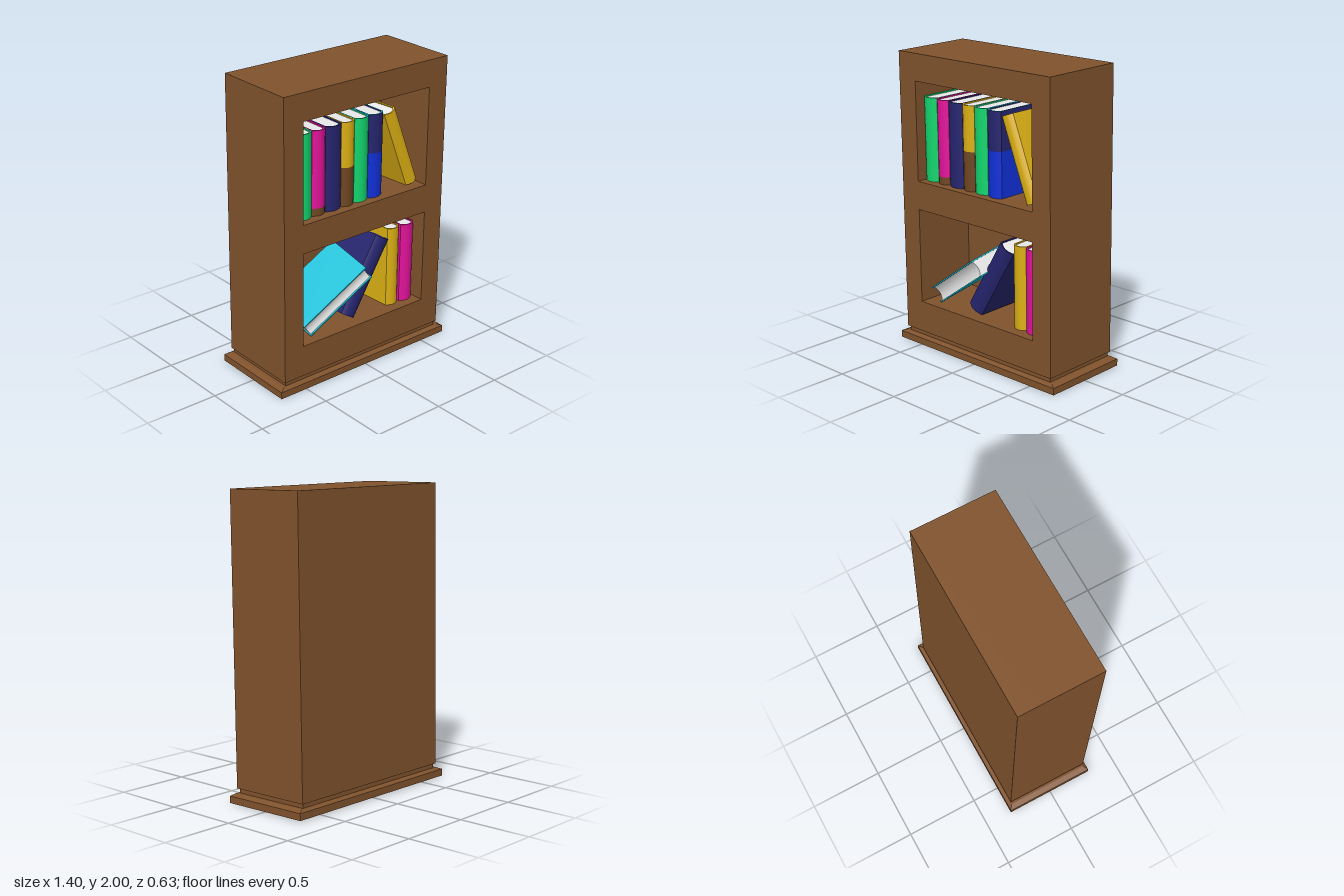
import * as THREE from 'three';
import { toCreasedNormals } from 'three/addons/utils/BufferGeometryUtils.js';

const COLORS = {
  wood: 0x80522c, brown: 0x6f4622, green: 0x12d66e, magenta: 0xe3129b, navy: 0x26256f,
  yellow: 0xdcb014, blue: 0x1030d8, cyan: 0x12bfd6, paper: 0xe9e9e9,
};

export function createModel() {
  const mats = {};
  for (const [name, color] of Object.entries(COLORS)) {
    mats[name] = new THREE.MeshStandardMaterial({ color });
    mats[name].name = name;
  }

  const root = new THREE.Group();
  root.name = 'bookcase';
  // The whole case leans forward very slightly
  const tilted = new THREE.Group();
  tilted.name = 'tiltedCase';
  tilted.rotation.x = 0.0155;
  tilted.position.y = 0.0045;
  root.add(tilted);

  const add = (parent, name, geo, mat) => {
    const mesh = new THREE.Mesh(geo, mat);
    mesh.name = name;
    parent.add(mesh);
    return mesh;
  };
  const box = (name, w, h, d, y, z) =>
    add(tilted, name, new THREE.BoxGeometry(w, h, d), mats.wood).position.set(0, y + h / 2, z);

  // Case: front frame with two openings, closed by a back panel
  const W = 0.655, Y0 = 0.09, Y1 = 1.991, FRONT = 0.284, BACK = -0.293, NICHE = 0.45;
  const rect = (S, x, y0, y1) => {
    const s = new S();
    s.moveTo(-x, y0).lineTo(x, y0).lineTo(x, y1).lineTo(-x, y1).closePath();
    return s;
  };
  const frame = rect(THREE.Shape, W, Y0, Y1);
  frame.holes.push(rect(THREE.Path, 0.507, 0.303, 0.95), rect(THREE.Path, 0.507, 1.143, 1.81));
  const frameGeo = new THREE.ExtrudeGeometry(frame, { depth: NICHE, bevelEnabled: false });
  add(tilted, 'frame', frameGeo, mats.wood).position.z = FRONT - NICHE;
  const backDepth = FRONT - NICHE - BACK;
  box('backPanel', W * 2, Y1 - Y0, backDepth, Y0, BACK + backDepth / 2);

  // Plinth with sloped upper edge, and a recessed neck under the case
  const ZC = -0.005;
  box('neck', 1.285, 0.035, 0.555, 0.058, ZC);
  box('plinth', 1.4, 0.046, 0.62, 0, ZC);
  const slope = new THREE.BoxGeometry(1.4, 0.014, 0.62);
  const p = slope.attributes.position;
  for (let i = 0; i < p.count; i++) {
    if (p.getY(i) > 0) p.setXYZ(i, p.getX(i) * 0.95, p.getY(i), p.getZ(i) * 0.93);
  }
  slope.computeVertexNormals();
  add(tilted, 'plinthSlope', slope, mats.wood).position.set(0, 0.053, ZC);

  // Extrude a plan outline upward, spine toward +z
  const extrudeUp = (shape, h, y) => {
    const g = new THREE.ExtrudeGeometry(shape, { depth: h, bevelEnabled: false, curveSegments: 10 });
    g.rotateX(-Math.PI / 2).translate(0, y, 0);
    return toCreasedNormals(g, 0.5);
  };

  // Book with rounded spine; origin at the middle of the spine.
  // bands: [colour, share of height] from bottom to top
  const DEPTH = 0.38, BULGE = 0.025, T = 0.009;
  function book(name, w, h, bands, cap) {
    const g = new THREE.Group();
    g.name = name;
    const a = w / 2, b = a - T;
    const cover = new THREE.Shape();
    cover.moveTo(-a, DEPTH).lineTo(-a, BULGE);
    cover.quadraticCurveTo(0, -BULGE, a, BULGE);
    cover.lineTo(a, DEPTH).lineTo(b, DEPTH).lineTo(b, BULGE + T);
    cover.quadraticCurveTo(0, -BULGE + T, -b, BULGE + T);
    cover.lineTo(-b, DEPTH).closePath();
    let y = -h / 2;
    for (const [color, share] of bands) {
      const geo = extrudeUp(cover, h * share, y);
      add(g, 'cover', geo, [mats[cap || color], mats[color]]);
      y += h * share;
    }
    // Page block with a hollow fore edge
    const pages = new THREE.Shape();
    pages.moveTo(-b, DEPTH - 0.01).lineTo(-b, BULGE + T);
    pages.quadraticCurveTo(0, -BULGE + T, b, BULGE + T);
    pages.lineTo(b, DEPTH - 0.01);
    pages.quadraticCurveTo(0, DEPTH - 0.045, -b, DEPTH - 0.01);
    add(g, 'pages', extrudeUp(pages, h - 0.016, -h / 2 + 0.008), mats.paper);
    tilted.add(g);
    return g;
  }

  // Upper shelf: upright row
  const H = 0.56, SPINE = 0.235;
  const row = [
    [-0.505, -0.386, [['green', 1]]],
    [-0.386, -0.280, [['brown', 0.09], ['magenta', 0.91]]],
    [-0.280, -0.154, [['navy', 1]]],
    [-0.154, -0.048, [['brown', 0.465], ['yellow', 0.535]]],
    [-0.048, 0.066, [['green', 1]], 'cyan'],
    [0.066, 0.186, [['blue', 0.54], ['navy', 0.46]], 'cyan'],
  ];
  for (const [x0, x1, bands, cap] of row) {
    book('uprightBook', x1 - x0 - 0.002, H, bands, cap)
      .position.set((x0 + x1) / 2, 1.144 + H / 2, SPINE);
  }

  // Leaning and slightly turned books
  const place = (b, x, y, z, lean, yaw) => {
    b.position.set(x, y, z);
    b.rotation.set(0, yaw, lean, 'ZYX');
  };
  place(book('leaningYellowBook', 0.095, 0.565, [['yellow', 1]]), 0.342, 1.428, 0.235, 0.37, 0.05);
  place(book('leaningNavyBook', 0.125, 0.56, [['navy', 1]]), 0.07, 0.583, 0.225, -0.54, 0);
  place(book('yellowBook', 0.105, H, [['yellow', 1]]), 0.32, 0.304 + H / 2, 0.215, 0, 0.06);
  place(book('magentaBook', 0.11, H, [['magenta', 1]]), 0.432, 0.304 + H / 2, 0.225, 0, 0);

  // Fallen book, fore edge toward the front
  const fallen = book('fallenBook', 0.12, 0.55, [['cyan', 1]]);
  const along = new THREE.Vector3(0.45, 0.31, 0.07).normalize();
  const spineDir = new THREE.Vector3(-0.57, 0.82, 0.13).cross(along).normalize();
  const thick = along.clone().cross(spineDir);
  fallen.quaternion.setFromRotationMatrix(new THREE.Matrix4().makeBasis(thick, along, spineDir));
  fallen.position.set(-0.19, 0.575, -0.115);

  return root;
}
